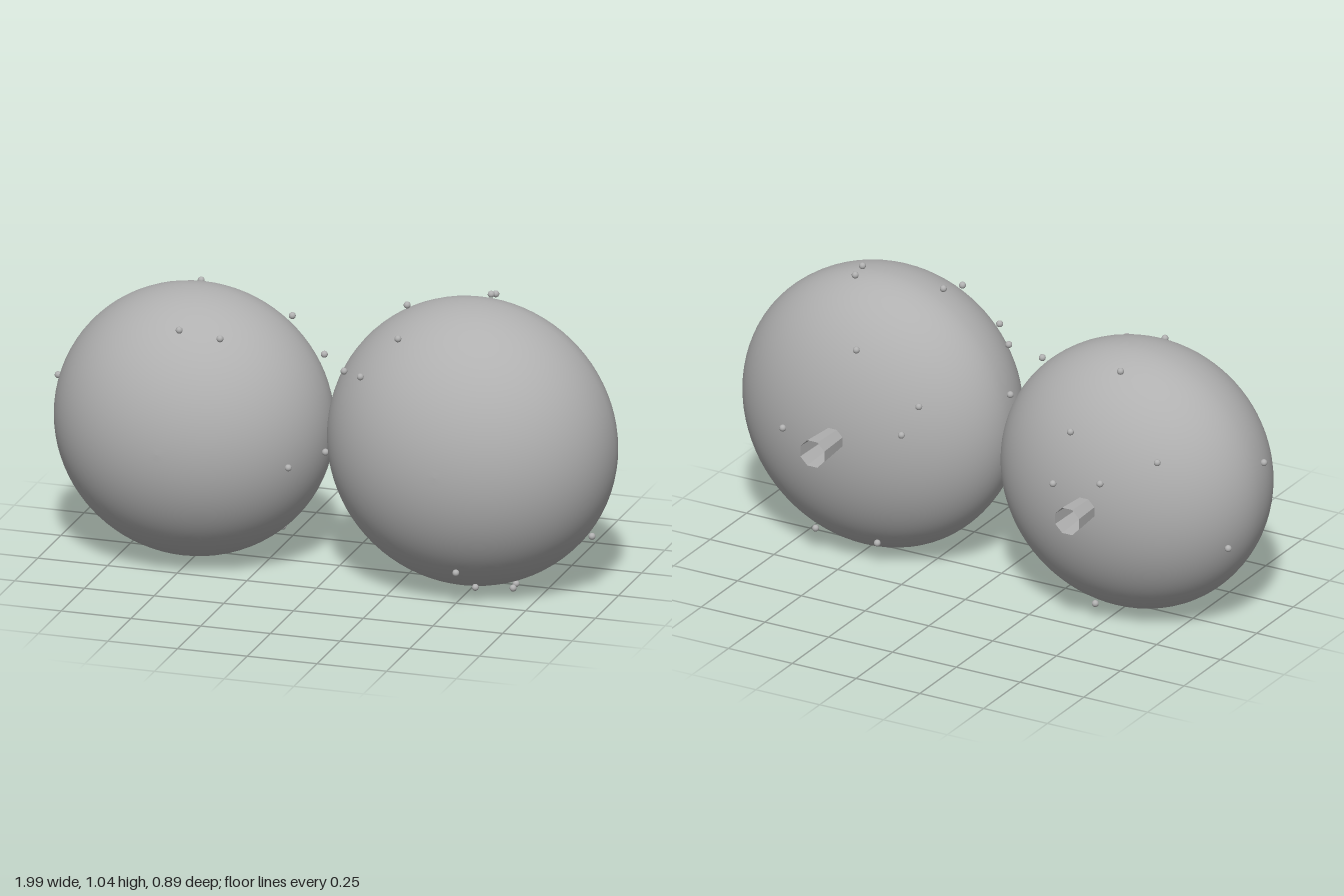
import * as THREE from 'three';

export function createModel() {
  const model = new THREE.Group();
  const grey = new THREE.MeshStandardMaterial({ color: 0xb0b0b0 });
  grey.name = 'grey';
  const stemGrey = new THREE.MeshStandardMaterial({ color: 0xb0b0b0, side: THREE.DoubleSide, flatShading: true });
  stemGrey.name = 'stem grey';

  const bulbs = [
    {
      name: 'largeBulb', x: 0.487, y: 0.515, z: 0.02, rx: 0.507, ry: 0.505, front: 0.425, back: 0.33,
      beads: [
        [0.54, 1.035, -0.01], [0.54, 1.02, -0.06], [0.26, 0.987, 0.055], [0.285, 0.925, 0.23],
        [0.165, 0.79, 0.275], [0.075, 0.77, 0.18], [0.925, 0.228, 0.06], [0.525, 0.14, 0.328],
        [0.565, 0.063, 0.237], [0.65, 0.02, 0.085], [0.64, 0.015, 0.023], [0.43, 0.837, -0.245],
        [0.185, 0.68, -0.245], [0.235, 0.575, -0.277], [0.69, 0.507, -0.295], [0.64, 0.09, -0.157],
        [0.385, 0.1, -0.18],
      ],
    },
    {
      name: 'smallBulb', x: -0.512, y: 0.487, z: 0.02, rx: 0.488, ry: 0.478, front: 0.415, back: 0.353,
      beads: [
        [-0.965, 0.365, -0.135], [-0.76, 0.69, -0.263], [-0.575, 0.597, -0.333], [-0.435, 0.743, -0.29],
        [-0.39, 0.556, -0.332], [-0.54, 0.93, -0.13], [-0.985, 0.608, 0.075], [-0.465, 0.062, -0.172],
        [-0.487, 0.885, 0.268], [-0.345, 0.865, 0.255], [-0.185, 0.868, -0.045], [-0.085, 0.725, -0.09],
        [-0.1, 0.427, 0.255], [-0.22, 0.105, -0.05], [-0.02, 0.44, 0.095],
      ],
    },
  ];

  const beadGeometry = new THREE.SphereGeometry(0.012, 16, 12);

  for (const b of bulbs) {
    const group = new THREE.Group();
    group.name = b.name;

    // Body: two half ellipses of unequal depth, turned about the z axis
    const profile = [];
    const steps = 48;
    for (let i = 0; i <= steps; i++) {
      const a = -Math.PI / 2 + (Math.PI * i) / steps;
      const r = i === 0 || i === steps ? 0 : Math.cos(a);
      profile.push(new THREE.Vector2(r, Math.sin(a) * (a < 0 ? b.back : b.front)));
    }
    const bodyGeometry = new THREE.LatheGeometry(profile, 80);
    bodyGeometry.rotateX(Math.PI / 2);
    bodyGeometry.scale(b.rx, b.ry, 1);
    const body = new THREE.Mesh(bodyGeometry, grey);
    body.name = 'body';
    body.position.set(b.x, b.y, b.z);
    group.add(body);

    // Stem: open eight-sided tube flaring towards the back
    const length = 0.15;
    const stemGeometry = new THREE.CylinderGeometry(0.051, 0.042, length, 8, 1, true);
    stemGeometry.rotateY(Math.PI / 8);
    stemGeometry.rotateX(-Math.PI / 2);
    const stem = new THREE.Mesh(stemGeometry, stemGrey);
    stem.name = 'stem';
    stem.position.set(b.x, b.y, -0.447 + length / 2);
    group.add(stem);

    // Beads scattered over the surface
    for (const p of b.beads) {
      const bead = new THREE.Mesh(beadGeometry, grey);
      bead.name = 'bead';
      bead.position.set(...p);
      group.add(bead);
    }
    model.add(group);
  }
  return model;
}
